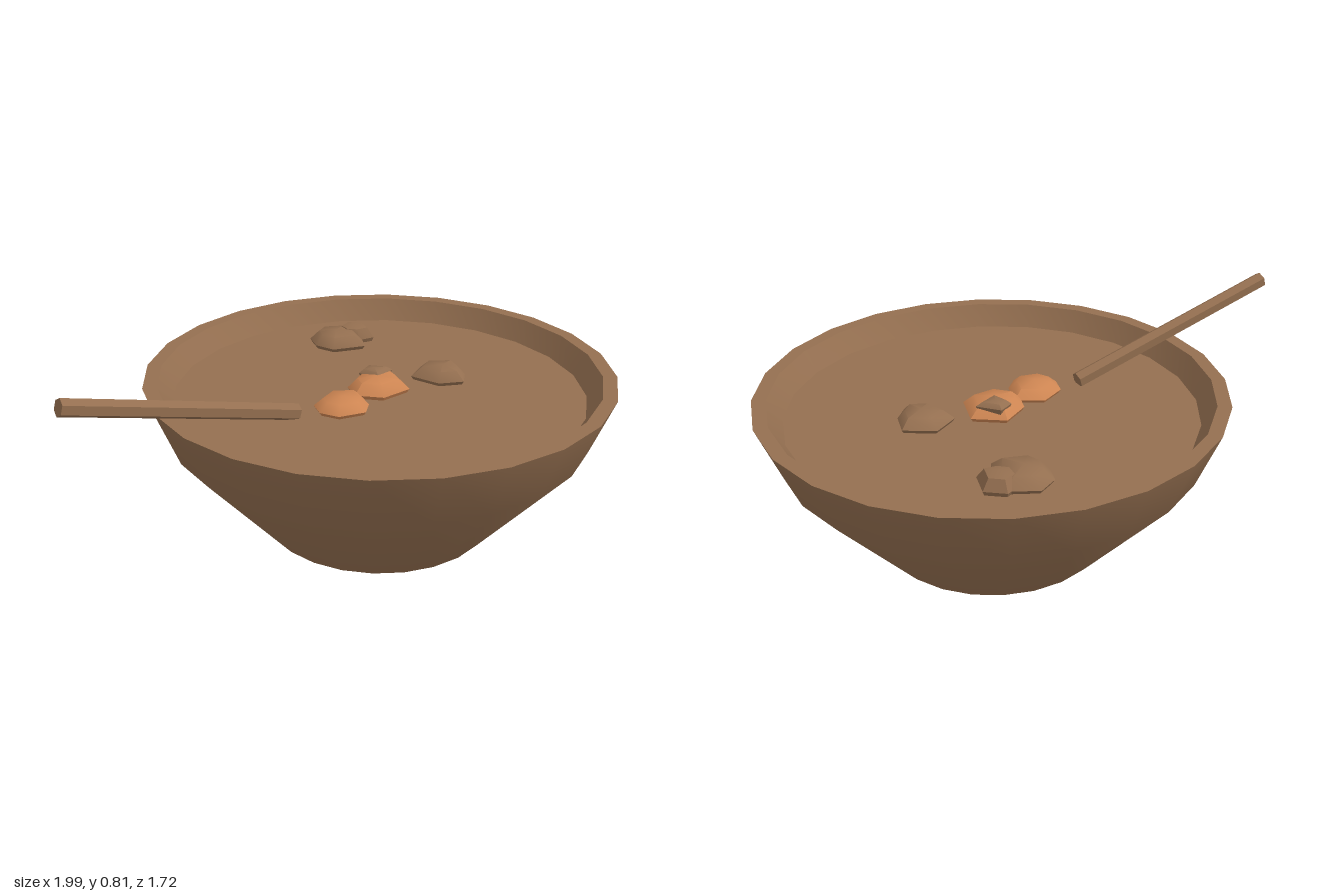
import * as THREE from 'three';
import { toCreasedNormals } from 'three/addons/utils/BufferGeometryUtils.js';

const BOWL_X = 0.135, SOUP_Y = 0.52, SIDES = 24;

const wood = new THREE.MeshStandardMaterial({ color: 0x946f50 });
wood.name = 'warm brown';
const orange = new THREE.MeshStandardMaterial({ color: 0xcd8552 });
orange.name = 'soft orange';

function part(name, geometry, material) {
  const mesh = new THREE.Mesh(geometry, material);
  mesh.name = name;
  return mesh;
}

// Faceted lump: an outline (x, z; clockwise from above) lofted up to an apex
function chunk(name, outline, material, height, base = SOUP_Y) {
  const n = outline.length;
  const cx = outline.reduce((s, p) => s + p[0], 0) / n;
  const cz = outline.reduce((s, p) => s + p[1], 0) / n;
  const rings = [[0.8, -0.02], [1, height * 0.25], [0.66, height * 0.85]]; // scale, height
  const pos = [], index = [];
  for (const [s, y] of rings)
    for (const [x, z] of outline) pos.push(cx + (x - cx) * s, base + y, cz + (z - cz) * s);
  pos.push(cx, base + height, cz);
  const apex = rings.length * n;
  for (let i = 0; i < n; i++) {
    const j = (i + 1) % n;
    for (let r = 0; r < rings.length - 1; r++) {
      const a = r * n, b = a + n;
      index.push(a + i, b + i, b + j, a + i, b + j, a + j);
    }
    index.push(apex - n + i, apex, apex - n + j);
  }
  const g = new THREE.BufferGeometry();
  g.setAttribute('position', new THREE.Float32BufferAttribute(pos, 3));
  g.setIndex(index);
  return part(name, toCreasedNormals(g, 0.75), material);
}

export function createModel() {
  const model = new THREE.Group();
  model.name = 'soupBowl';

  // Bowl: outer wall, flat rim and inner wall down to the soup
  const profile = [[0.43, 0], [0.775, 0.39], [0.86, 0.6], [0.808, 0.6], [0.757, SOUP_Y]]
    .map(([r, y]) => new THREE.Vector2(r, y));
  const bowl = part('bowl', toCreasedNormals(new THREE.LatheGeometry(profile, SIDES), 0.6), wood);
  const base = part('bowlBase', new THREE.CircleGeometry(0.43, SIDES).rotateX(Math.PI / 2), wood);
  const soup = part('soup', new THREE.CircleGeometry(0.757, SIDES).rotateX(-Math.PI / 2), wood);
  soup.position.y = SOUP_Y;
  for (const m of [bowl, base, soup]) {
    m.position.x = BOWL_X;
    model.add(m);
  }

  // Six-sided stick leaning over the rim
  const low = new THREE.Vector3(-0.2, 0.54, 0.168);
  const high = new THREE.Vector3(-0.985, 0.78, 0.517);
  const rod = new THREE.CylinderGeometry(0.031, 0.031, low.distanceTo(high), 6).rotateX(Math.PI / 2);
  const stick = part('stick', toCreasedNormals(rod, 0.3), wood);
  stick.position.copy(low).lerp(high, 0.5);
  stick.lookAt(high);
  model.add(stick);

  // Floating pieces
  model.add(
    chunk('orangeChunkCentre', [[0.02, -0.02], [0.09, -0.12], [0.22, -0.095], [0.24, 0.04], [0.13, 0.1], [0.03, 0.06]], orange, 0.06),
    chunk('orangeChunkFront', [[-0.13, 0.11], [-0.06, 0.025], [0.05, 0.04], [0.065, 0.14], [0.04, 0.205], [-0.06, 0.225], [-0.12, 0.18]], orange, 0.05),
    chunk('brownTopping', [[0.07, -0.06], [0.11, -0.11], [0.2, -0.07], [0.13, 0.005]], wood, 0.025, SOUP_Y + 0.045),
    chunk('brownChunkSide', [[0.275, -0.08], [0.34, -0.17], [0.465, -0.155], [0.48, -0.06], [0.455, 0.01], [0.36, 0.01]], wood, 0.055),
    chunk('brownChunkBack', [[-0.03, -0.54], [0.02, -0.605], [0.13, -0.6], [0.175, -0.5], [0.17, -0.415], [0.04, -0.4], [-0.02, -0.46]], wood, 0.06),
    chunk('brownChunkBackSmall', [[0.08, -0.56], [0.13, -0.615], [0.21, -0.595], [0.225, -0.5], [0.16, -0.48], [0.1, -0.5]], wood, 0.065),
  );
  return model;
}
